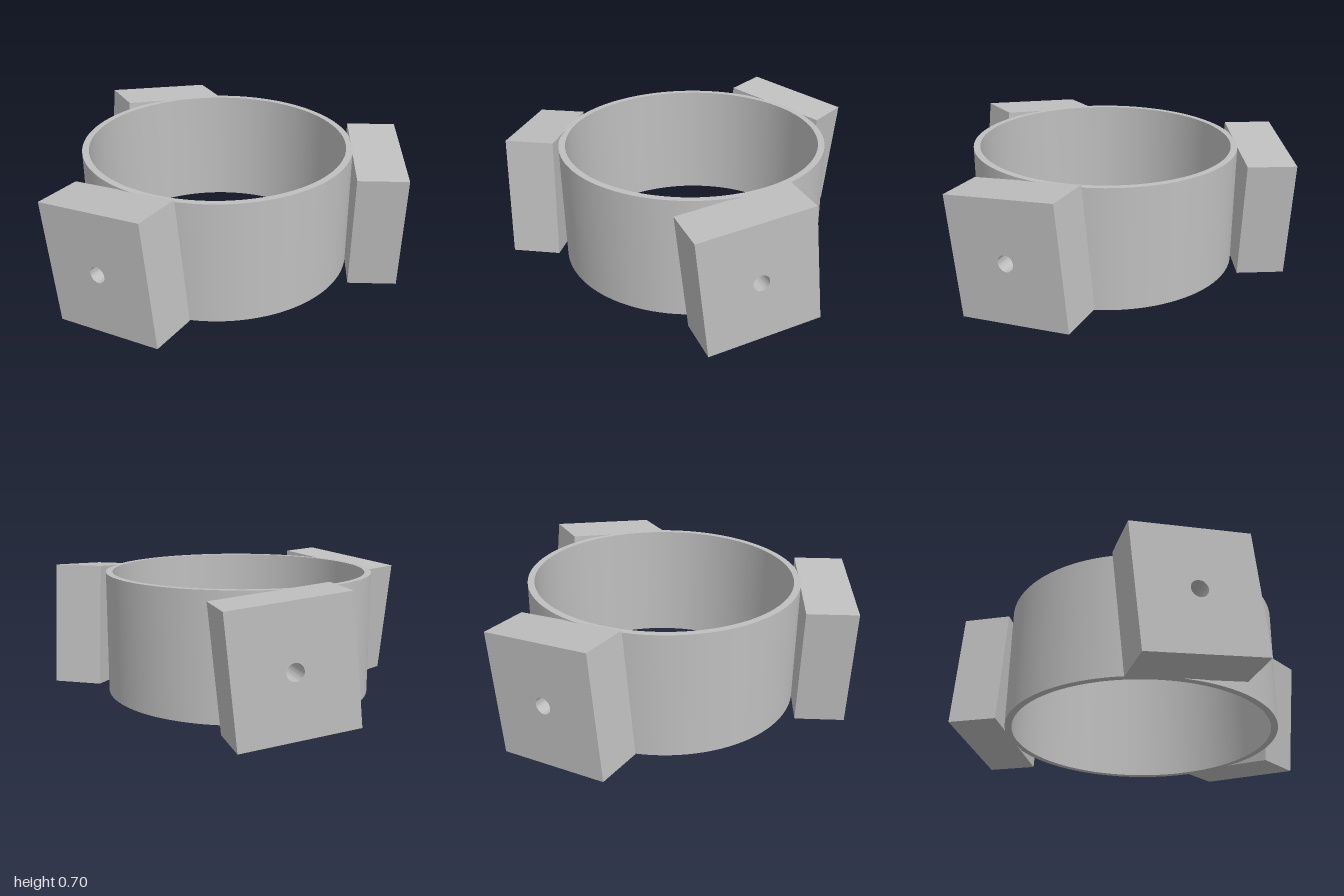
import * as THREE from 'three';
import { toCreasedNormals } from 'three/addons/utils/BufferGeometryUtils.js';

const RING = { x: -0.085, z: 0.012, outer: 0.715, inner: 0.68, bottom: 0.03, height: 0.65 };
const BLOCK = { length: 0.602, height: 0.644, depth: 0.258, hole: 0.043, tilt: THREE.MathUtils.degToRad(6) };

// Extrudes an outline with one round hole, smooth on curves and sharp on edges
function extrudeWithHole(shape, holeRadius, depth, curveSegments) {
  const hole = new THREE.Path();
  hole.absarc(0, 0, holeRadius, 0, Math.PI * 2, true);
  shape.holes.push(hole);
  const geometry = new THREE.ExtrudeGeometry(shape, { depth, bevelEnabled: false, curveSegments });
  return toCreasedNormals(geometry, Math.PI / 6);
}

export function createModel() {
  const grey = new THREE.MeshStandardMaterial({ color: 0xbfbfbf });
  grey.name = 'grey';

  const model = new THREE.Group();
  model.name = 'ringWithBlocks';

  // Thin open ring, standing on its rim
  const circle = new THREE.Shape().absarc(0, 0, RING.outer, 0, Math.PI * 2, false);
  const ringGeometry = extrudeWithHole(circle, RING.inner, RING.height, 96);
  ringGeometry.rotateX(-Math.PI / 2);
  const ring = new THREE.Mesh(ringGeometry, grey);
  ring.name = 'ring';
  ring.position.set(RING.x, RING.bottom, RING.z);
  model.add(ring);

  // Tilted block with a hole through its middle, facing outwards along +x
  const w = BLOCK.length / 2;
  const h = BLOCK.height / 2;
  const outline = new THREE.Shape([
    new THREE.Vector2(-w, -h), new THREE.Vector2(w, -h),
    new THREE.Vector2(w, h), new THREE.Vector2(-w, h),
  ]);
  const blockGeometry = extrudeWithHole(outline, BLOCK.hole, BLOCK.depth, 24);
  blockGeometry.rotateZ(BLOCK.tilt);
  blockGeometry.rotateY(Math.PI / 2);
  blockGeometry.translate(0.707, 0.353, 0.038);

  // Three blocks evenly spaced around the ring
  for (let i = 0; i < 3; i++) {
    const block = new THREE.Mesh(blockGeometry, grey);
    block.name = `block${i + 1}`;
    block.position.set(RING.x, 0, RING.z);
    block.rotation.y = -i * Math.PI * 2 / 3;
    model.add(block);
  }
  return model;
}
